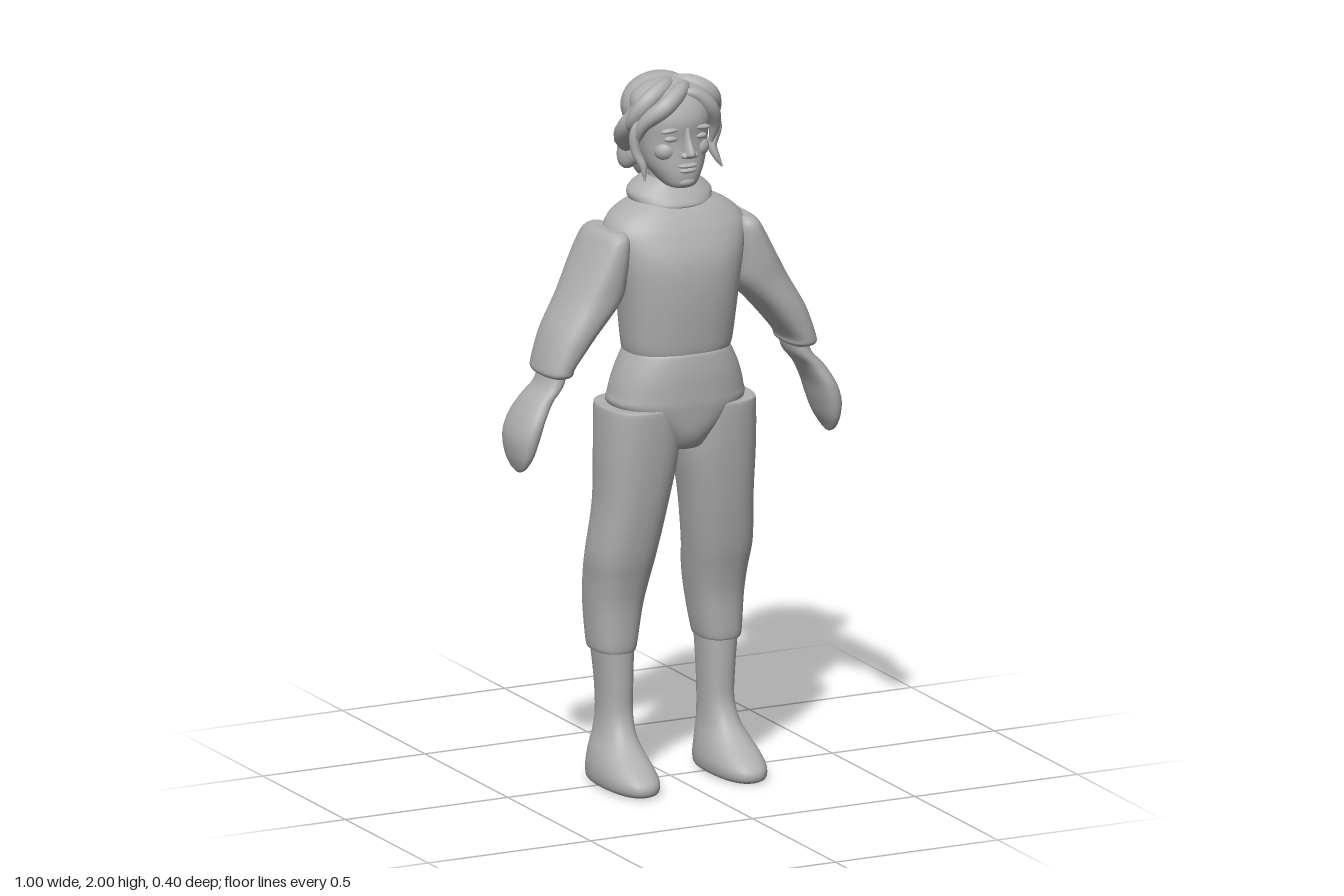
import * as THREE from 'three';

const grey = new THREE.MeshStandardMaterial({ color: 0xb0b0b0 });
grey.name = 'plain grey';

// Smooth body from horizontal slices, bottom to top: [y, x0, x1, z0, z1]; n sets how square the slices are
function loft(rows, n = 2.2, side = 1, N = 36, steps = 5) {
  const at = (i, k) => rows[Math.max(0, Math.min(rows.length - 1, i))][k];
  const pos = [], idx = [], rings = [];
  for (let i = 0; i < rows.length - 1; i++) {
    for (let s = 0; s < steps + (i === rows.length - 2 ? 1 : 0); s++) {
      const t = s / steps;
      rings.push([0, 1, 2, 3, 4].map((k) => {
        const a = at(i - 1, k), b = at(i, k), c = at(i + 1, k), d = at(i + 2, k);
        return b + 0.5 * t * (c - a + t * (2 * a - 5 * b + 4 * c - d + t * (3 * (b - c) + d - a)));
      }));
    }
  }
  const addRing = ([y, x0, x1, z0, z1]) => {
    for (let j = 0; j < N; j++) {
      const a = (j / N) * Math.PI * 2, c = Math.cos(a), s = Math.sin(a);
      pos.push(side * (x0 + x1) / 2 + (x1 - x0) / 2 * Math.sign(c) * Math.abs(c) ** (2 / n), y,
        (z0 + z1) / 2 + (z1 - z0) / 2 * Math.sign(s) * Math.abs(s) ** (2 / n));
    }
  };
  rings.forEach(addRing);
  for (let i = 0; i < rings.length - 1; i++) {
    for (let j = 0; j < N; j++) {
      const a = i * N + j, b = i * N + (j + 1) % N;
      idx.push(a, a + N, b, b, a + N, b + N);
    }
  }
  // end caps with their own corners so the rims stay sharp
  for (const top of [false, true]) {
    const r = rings[top ? rings.length - 1 : 0], base = pos.length / 3;
    addRing(r);
    pos.push(side * (r[1] + r[2]) / 2, r[0], (r[3] + r[4]) / 2);
    for (let j = 0; j < N; j++) {
      const k = (j + 1) % N;
      idx.push(base + N, base + (top ? k : j), base + (top ? j : k));
    }
  }
  const g = new THREE.BufferGeometry();
  g.setAttribute('position', new THREE.Float32BufferAttribute(pos, 3));
  g.setIndex(idx);
  g.computeVertexNormals();
  return g;
}

// Lock of hair: a tube that swells in the middle and tapers at the end
function lock(points, r, end = 0.25, start = 0.5) {
  const curve = new THREE.CatmullRomCurve3(points.map((p) => new THREE.Vector3(...p)));
  const S = 28, R = 12, g = new THREE.TubeGeometry(curve, S, r, R), p = g.attributes.position;
  const v = new THREE.Vector3();
  for (let i = 0; i <= S; i++) {
    const t = i / S, c = curve.getPointAt(t);
    const f = Math.max(Math.sin(Math.PI * t) ** 0.6, t < 0.5 ? start : end);
    for (let j = 0; j <= R; j++) {
      const k = i * (R + 1) + j;
      v.fromBufferAttribute(p, k).sub(c).multiplyScalar(f).add(c);
      p.setXYZ(k, v.x, v.y, v.z);
    }
  }
  g.computeVertexNormals();
  return g;
}

export function createModel() {
  const model = new THREE.Group();
  model.name = 'figure';
  const add = (name, geometry) => {
    const m = new THREE.Mesh(geometry, grey);
    m.name = name;
    model.add(m);
    return m;
  };
  const ball = (name, x, y, z, rx, ry, rz, tiltX = 0, tiltZ = 0) => {
    const m = add(name, new THREE.SphereGeometry(1, 28, 20));
    m.position.set(x, y, z);
    m.scale.set(rx, ry, rz);
    m.rotation.set(tiltX, 0, tiltZ);
  };
  // centred slice: [y, half width, back, front]
  const mid = (rows) => rows.map(([y, w, b, f]) => [y, -w, w, b, f]);

  // Body
  add('torso', loft(mid([[1.235, 0.15, -0.085, 0.155], [1.27, 0.157, -0.085, 0.162], [1.4, 0.172, -0.09, 0.175],
    [1.5, 0.19, -0.098, 0.171], [1.57, 0.205, -0.1, 0.145], [1.61, 0.19, -0.098, 0.122],
    [1.64, 0.15, -0.09, 0.1], [1.665, 0.09, -0.07, 0.07]]), 2.4));
  add('pelvis', loft(mid([[0.955, 0.04, -0.03, 0.09], [0.965, 0.062, -0.06, 0.125], [1.01, 0.1, -0.095, 0.152],
    [1.08, 0.19, -0.105, 0.163], [1.12, 0.192, -0.102, 0.165], [1.18, 0.175, -0.092, 0.165],
    [1.23, 0.152, -0.083, 0.16], [1.24, 0.143, -0.08, 0.155]]), 2.4));
  add('collar', loft(mid([[1.635, 0.095, -0.08, 0.085], [1.645, 0.112, -0.095, 0.1], [1.67, 0.12, -0.1, 0.085],
    [1.69, 0.105, -0.1, 0.07], [1.71, 0.075, -0.085, 0.058], [1.715, 0.066, -0.075, 0.05]])));
  add('neck', loft(mid([[1.66, 0.06, -0.06, 0.05], [1.74, 0.058, -0.06, 0.05], [1.8, 0.058, -0.06, 0.05]])));

  // Limbs
  for (const s of [1, -1]) {
    const side = s > 0 ? 'left' : 'right';
    add(side + 'Sleeve', loft([[1.195, 0.345, 0.4, -0.05, 0.085], [1.205, 0.332, 0.417, -0.068, 0.108],
      [1.23, 0.322, 0.415, -0.075, 0.114], [1.31, 0.255, 0.388, -0.09, 0.12], [1.4, 0.175, 0.338, -0.102, 0.12],
      [1.47, 0.16, 0.3, -0.112, 0.122], [1.54, 0.155, 0.262, -0.113, 0.12], [1.575, 0.16, 0.24, -0.1, 0.112],
      [1.59, 0.172, 0.22, -0.075, 0.09]], 2.4, s));
    add(side + 'Hand', loft([[0.93, 0.473, 0.48, 0.005, 0.03], [0.945, 0.466, 0.487, -0.03, 0.06],
      [0.98, 0.448, 0.497, -0.058, 0.085], [1.03, 0.43, 0.5, -0.072, 0.097], [1.08, 0.413, 0.483, -0.072, 0.097],
      [1.13, 0.385, 0.452, -0.058, 0.085], [1.17, 0.352, 0.415, -0.05, 0.08], [1.21, 0.34, 0.4, -0.045, 0.075]], 2.3, s));
    add(side + 'Trouser', loft([[0.375, 0.108, 0.214, -0.112, 0.036], [0.39, 0.1, 0.223, -0.12, 0.043],
      [0.5, 0.082, 0.23, -0.135, 0.052], [0.58, 0.068, 0.235, -0.128, 0.07], [0.66, 0.055, 0.24, -0.105, 0.092],
      [0.8, 0.033, 0.23, -0.087, 0.12], [0.95, 0.008, 0.23, -0.088, 0.142], [1.07, 0.012, 0.226, -0.098, 0.153],
      [1.085, 0.02, 0.22, -0.095, 0.148]], 2.5, s));
    add(side + 'Boot', loft([[0, 0.108, 0.222, -0.11, 0.18], [0.01, 0.094, 0.236, -0.122, 0.197],
      [0.035, 0.09, 0.24, -0.122, 0.195], [0.065, 0.094, 0.236, -0.117, 0.16], [0.1, 0.102, 0.225, -0.112, 0.105],
      [0.14, 0.11, 0.21, -0.106, 0.062], [0.2, 0.112, 0.201, -0.1, 0.036], [0.29, 0.11, 0.204, -0.104, 0.036],
      [0.39, 0.106, 0.214, -0.114, 0.038]], 2.3, s));

    // Paired face details
    ball(side + 'Eye', s * 0.044, 1.842, 0.094, 0.021, 0.009, 0.012);
    ball(side + 'Brow', s * 0.046, 1.867, 0.095, 0.03, 0.008, 0.014, 0, s * -0.1);
    ball(side + 'Cheek', s * 0.05, 1.805, 0.068, 0.032, 0.03, 0.032);
    ball(side + 'Nostril', s * 0.014, 1.796, 0.117, 0.012, 0.009, 0.013);
  }

  // Head and face
  add('head', loft(mid([[1.695, 0.022, 0.03, 0.085], [1.705, 0.045, 0.0, 0.106], [1.735, 0.068, -0.05, 0.112],
    [1.77, 0.086, -0.08, 0.11], [1.83, 0.1, -0.1, 0.105], [1.89, 0.106, -0.11, 0.11], [1.94, 0.1, -0.1, 0.09],
    [1.97, 0.075, -0.07, 0.06], [1.985, 0.03, -0.03, 0.02]])));
  add('nose', loft(mid([[1.787, 0.009, 0.09, 0.125], [1.797, 0.016, 0.08, 0.143], [1.81, 0.014, 0.08, 0.143],
    [1.84, 0.01, 0.08, 0.123], [1.872, 0.01, 0.08, 0.112]]), 2, 1, 16));
  ball('upperLip', 0, 1.765, 0.109, 0.03, 0.007, 0.014);
  ball('lowerLip', 0, 1.751, 0.108, 0.026, 0.008, 0.013);
  ball('chin', 0, 1.717, 0.092, 0.03, 0.017, 0.022);

  // Hair gathered at the back
  ball('hairBack', 0, 1.9, -0.06, 0.11, 0.092, 0.105);
  ball('hairCrown', 0, 1.925, -0.01, 0.112, 0.065, 0.085);
  ball('bunMiddle', 0, 1.755, -0.145, 0.042, 0.085, 0.053, 0.2);
  for (const s of [1, -1]) {
    ball('bunSide', s * 0.045, 1.775, -0.13, 0.036, 0.075, 0.048, 0.25, s * 0.35);
    add('sideHair', lock([[s * 0.112, 1.93, 0.02], [s * 0.122, 1.87, -0.015], [s * 0.105, 1.82, -0.07],
      [s * 0.07, 1.78, -0.12], [s * 0.03, 1.74, -0.15]], 0.03, 0.4));
  }

  // Swept fringe and loose strands
  const strands = [
    [[[0.06, 1.965, -0.01], [0.0, 1.965, 0.06], [-0.06, 1.93, 0.085], [-0.108, 1.88, 0.055], [-0.118, 1.82, 0.03]], 0.026],
    [[[0.03, 1.975, -0.035], [-0.04, 1.97, 0.03], [-0.095, 1.935, 0.04], [-0.12, 1.88, 0.01], [-0.105, 1.83, -0.04]], 0.026],
    [[[0.0, 1.975, -0.04], [0.05, 1.975, 0.01], [0.1, 1.945, 0.035], [0.127, 1.89, 0.01], [0.118, 1.82, -0.03]], 0.026],
    [[[-0.01, 1.96, 0.06], [0.04, 1.955, 0.07], [0.085, 1.915, 0.07], [0.112, 1.86, 0.05], [0.11, 1.8, 0.035]], 0.022],
    [[[-0.1, 1.91, 0.05], [-0.127, 1.86, 0.035], [-0.122, 1.8, 0.035], [-0.108, 1.76, 0.05], [-0.105, 1.72, 0.055]], 0.014],
    [[[0.12, 1.9, 0.03], [0.133, 1.84, 0.025], [0.115, 1.79, 0.03], [0.125, 1.755, 0.04], [0.138, 1.73, 0.045]], 0.014],
  ];
  for (const [points, r] of strands) add('hairStrand', lock(points, r));

  return model;
}
